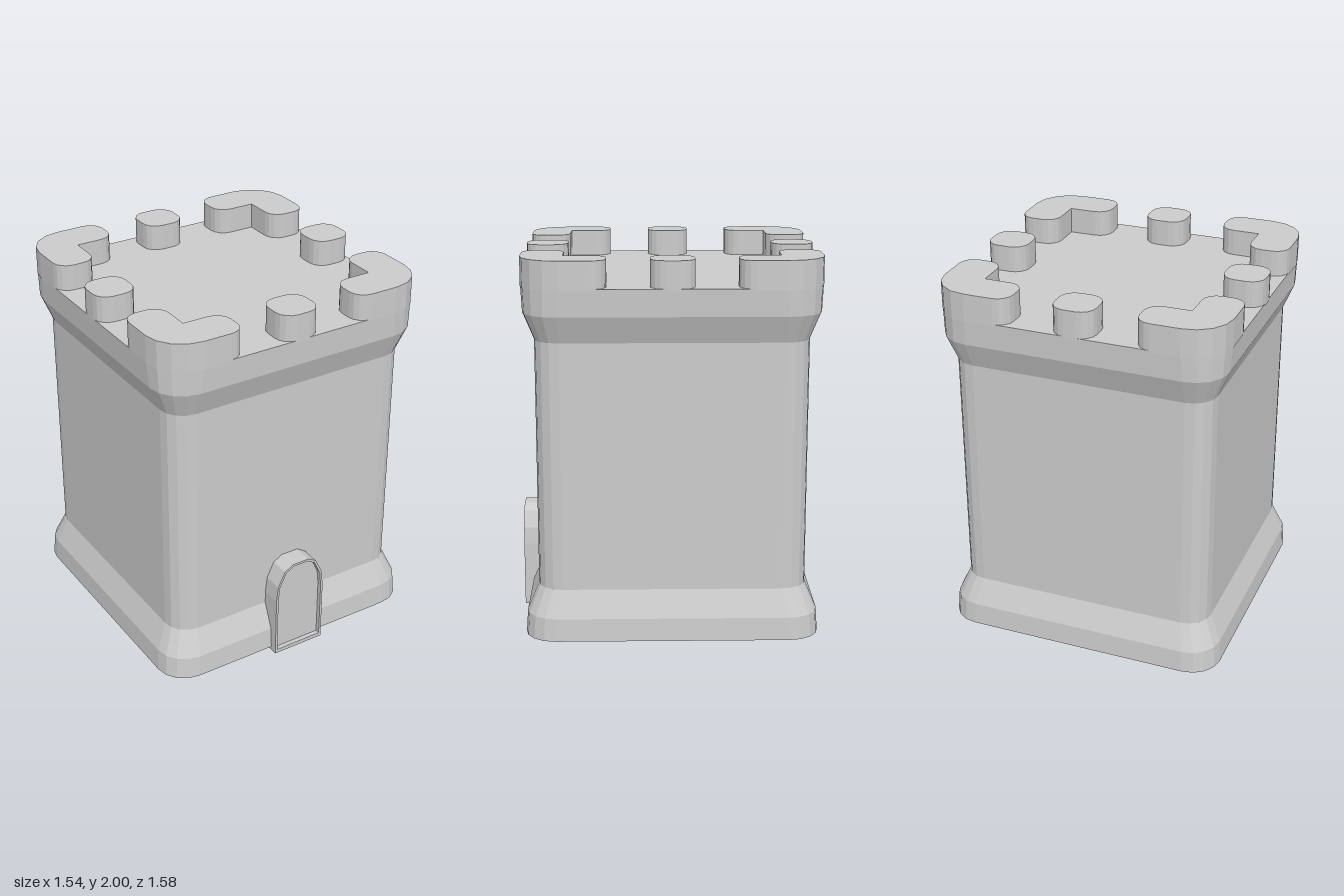
import * as THREE from 'three';

const mat = new THREE.MeshStandardMaterial({ color: 0xcccccc, flatShading: true });
const CENTRE_Z = -0.018;

function add(parent, name, geometry) {
  const mesh = new THREE.Mesh(geometry, mat);
  mesh.name = name;
  parent.add(mesh);
  return mesh;
}

// Counter-clockwise outline from [x, y, radius] right-angle corners
function outline(corners, segments = 4) {
  const points = [];
  const n = corners.length;
  corners.forEach(([x, y, r], i) => {
    const p = new THREE.Vector2(x, y);
    if (!r) return points.push(p);
    const toward = ([cx, cy]) => new THREE.Vector2(cx, cy).sub(p).normalize();
    const prev = toward(corners[(i + n - 1) % n]);
    const next = toward(corners[(i + 1) % n]);
    const c = p.clone().addScaledVector(prev, r).addScaledVector(next, r);
    for (let k = 0; k <= segments; k++) {
      const t = (k / segments) * Math.PI / 2;
      points.push(c.clone().addScaledVector(next, -r * Math.cos(t)).addScaledVector(prev, -r * Math.sin(t)));
    }
  });
  return points;
}

const rect = (x0, x1, y0, y1, r) => outline([[x0, y0, r], [x1, y0, r], [x1, y1, r], [x0, y1, r]]);

// Skin through rounded-square sections [height, half width, corner radius], closed at both ends
function loftSquares(sections) {
  const first = sections[0], last = sections[sections.length - 1];
  const all = [[first[0], 0, 0], ...sections, [last[0], 0, 0]];
  const n = rect(-1, 1, -1, 1, 0.1).length;
  const position = [], index = [];
  all.forEach(([y, h, r]) => {
    const ring = h ? rect(-h, h, -h, h, r) : Array.from({ length: n }, () => new THREE.Vector2());
    ring.forEach(p => position.push(p.x, y, -p.y));
  });
  for (let i = 0; i < all.length - 1; i++) {
    for (let j = 0; j < n; j++) {
      const a = i * n + j, b = i * n + (j + 1) % n;
      if (all[i][1]) index.push(a, b, b + n);
      if (all[i + 1][1]) index.push(a, b + n, a + n);
      if (!all[i + 1][1]) index.push(a, b, a + n);
    }
  }
  // drop the zero-area half of the closing fans
  const clean = [];
  const key = v => position.slice(v * 3, v * 3 + 3).join();
  for (let i = 0; i < index.length; i += 3) {
    const t = index.slice(i, i + 3);
    if (new Set(t.map(key)).size === 3) clean.push(...t);
  }
  const g = new THREE.BufferGeometry();
  g.setAttribute('position', new THREE.Float32BufferAttribute(position, 3));
  g.setIndex(clean);
  const flat = g.toNonIndexed();
  flat.computeVertexNormals();
  return flat;
}

// Upright block from a plan outline
function block(points, y0, y1) {
  const g = new THREE.ExtrudeGeometry(new THREE.Shape(points), { depth: y1 - y0, bevelEnabled: false });
  return g.rotateX(-Math.PI / 2).translate(0, y0, 0);
}

// Arched door outline inset by a margin
function archPoints(inset, bottom) {
  const half = [[0.15, 0.35], [0.14, 0.44], [0.1, 0.525], [0.05, 0.555]]
    .map(([x, y]) => [x * (1 - inset / 0.15), y - inset * (y - 0.35) / 0.2]);
  const right = [[0.15 - inset, bottom], ...half];
  const left = right.map(([x, y]) => [-x, y]).reverse();
  return [...right, ...left].map(([x, y]) => new THREE.Vector2(x, y));
}

function archPanel(outer, hole, z0, z1) {
  const shape = new THREE.Shape(outer);
  if (hole) shape.holes.push(new THREE.Path(hole));
  return new THREE.ExtrudeGeometry(shape, { depth: z1 - z0, bevelEnabled: false }).translate(0, 0, z0);
}

export function createModel() {
  const model = new THREE.Group();
  model.name = 'castleTower';

  // Walls, with flared foot and flared parapet
  const tower = new THREE.Group();
  tower.name = 'tower';
  tower.position.z = CENTRE_Z;
  model.add(tower);
  add(tower, 'towerWalls', loftSquares([
    [0.02, 0.768, 0.16],
    [0.14, 0.76, 0.16],
    [0.28, 0.7, 0.13],
    [1.58, 0.7, 0.13],
    [1.72, 0.757, 0.18],
    [1.86, 0.765, 0.2],
  ]));

  // Battlements: one L-shaped corner and one middle block per side
  const out = 0.766, inn = 0.55, end = 0.33;
  const corner = block(outline([
    [end, inn, 0.08], [inn, inn, 0], [inn, end, 0.08],
    [out, end, 0.08], [out, out, 0.2], [end, out, 0.08],
  ]), 1.85, 2);
  const middle = block(rect(-0.112, 0.112, 0.545, out, 0.08), 1.85, 2);
  for (let i = 0; i < 4; i++) {
    add(tower, 'cornerBattlement', corner).rotation.y = i * Math.PI / 2;
    add(tower, 'middleBattlement', middle).rotation.y = i * Math.PI / 2;
  }

  // Doorway: arched frame, recessed door and the sill under it
  const door = new THREE.Group();
  door.name = 'doorway';
  model.add(door);
  add(door, 'doorFrame', archPanel(archPoints(0, 0), archPoints(0.013, 0.022), 0.6, 0.79));
  add(door, 'doorPanel', archPanel(archPoints(0.008, 0.01), null, 0.6, 0.765));
  add(door, 'doorSill', new THREE.BoxGeometry(0.298, 0.022, 0.298).translate(0, 0.012, 0.64));

  return model;
}
